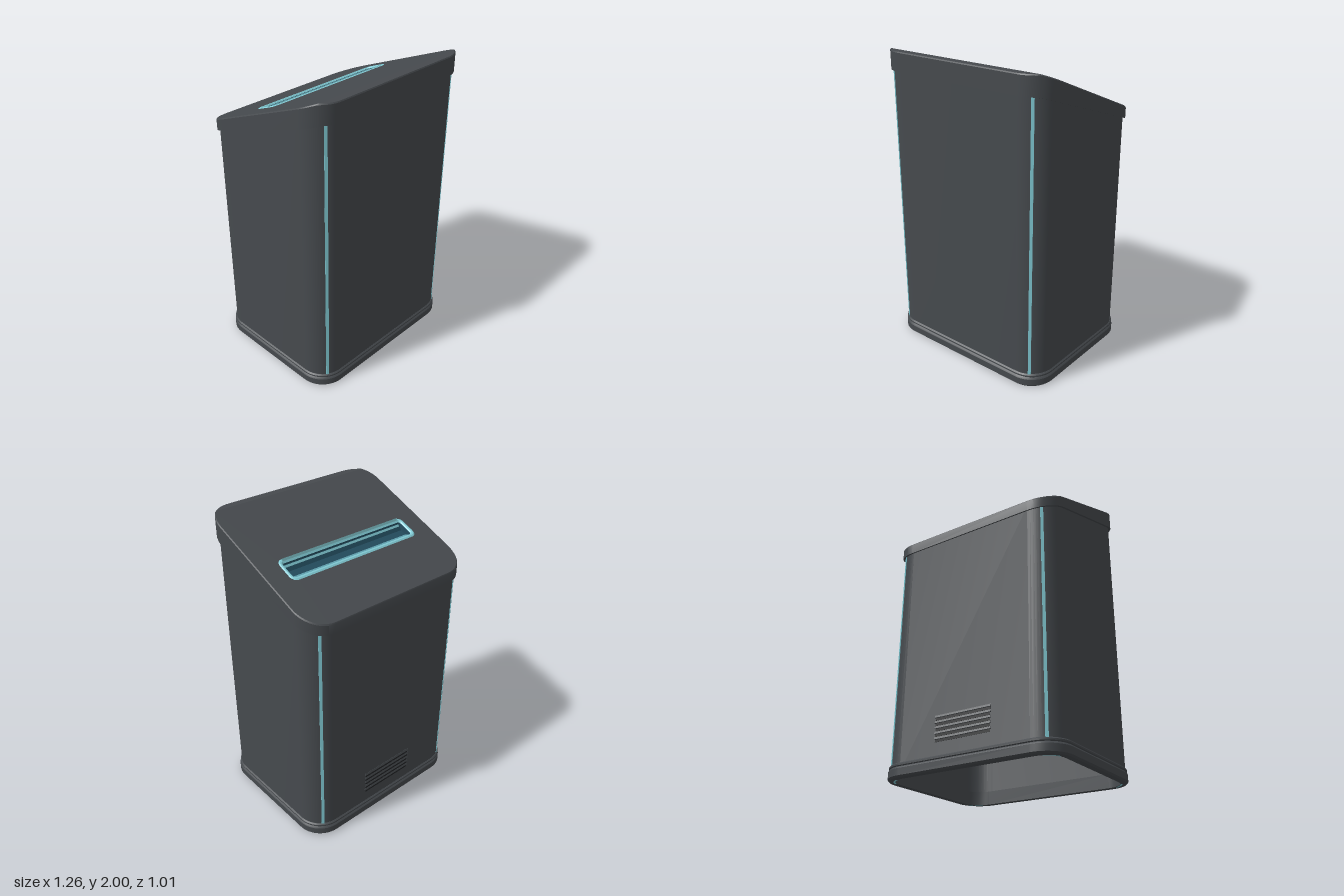
import * as THREE from 'three';
import { toCreasedNormals } from 'three/addons/utils/BufferGeometryUtils.js';

const mat = (name, color) => {
  const m = new THREE.MeshStandardMaterial({ color, side: THREE.DoubleSide });
  m.name = name;
  return m;
};

// Rounded rectangle in plan, as [x, z] points
function outline(hx, hz, r, cz = 0, n = 12) {
  const pts = [];
  [[1, 1], [-1, 1], [-1, -1], [1, -1]].forEach(([sx, sz], k) => {
    for (let i = 0; i <= n; i++) {
      const a = (k + i / n) * Math.PI / 2;
      pts.push([sx * (hx - r) + r * Math.cos(a), cz + sz * (hz - r) + r * Math.sin(a)]);
    }
  });
  return pts;
}

// Add points where the outline crosses a given z
function splitAt(pts, z) {
  return pts.flatMap((a, i) => {
    const b = pts[(i + 1) % pts.length];
    if ((a[1] - z) * (b[1] - z) >= 0) return [a];
    const t = (z - a[1]) / (b[1] - a[1]);
    return [a, [a[0] + (b[0] - a[0]) * t, z]];
  });
}

// Skin a stack of closed rings; each ring is [points, height(z)]
function loft(rings) {
  const n = rings[0][0].length, pos = [], idx = [];
  rings.forEach(([pts, y]) => pts.forEach(([x, z]) => pos.push(x, y(z), z)));
  for (let i = 0; i < rings.length - 1; i++) {
    for (let j = 0; j < n; j++) {
      const a = i * n + j, b = i * n + (j + 1) % n;
      idx.push(a, a + n, b, b, a + n, b + n);
    }
  }
  const g = new THREE.BufferGeometry();
  g.setAttribute('position', new THREE.Float32BufferAttribute(pos, 3));
  g.setIndex(idx);
  return toCreasedNormals(g, 0.5);
}

// Flat plan shape, lifted onto a height rule
function sheet(pts, y, hole) {
  const v = (p) => p.map(([x, z]) => new THREE.Vector2(x, -z));
  const shape = new THREE.Shape(v(pts));
  if (hole) shape.holes.push(new THREE.Path(v(hole)));
  const g = new THREE.ShapeGeometry(shape).rotateX(-Math.PI / 2);
  const p = g.attributes.position;
  for (let i = 0; i < p.count; i++) p.setY(i, y(p.getZ(i)));
  return toCreasedNormals(g, 0.5);
}

export function createModel() {
  const charcoal = mat('charcoal', 0x464a4e);
  const dark = mat('dark vent', 0x232527);
  const cyan = mat('pale cyan', 0x82ccd6);
  const muted = mat('muted teal', 0x5b8d93);
  const teal = mat('teal', 0x5fa0ae);
  const deepTeal = mat('deep teal', 0x234c5e);
  const group = new THREE.Group();
  const add = (name, geo, material) => {
    const m = new THREE.Mesh(geo, material);
    m.name = name;
    group.add(m);
    return m;
  };

  // Lid heights: short flat at the front, then a slope down to the back
  const bend = 0.45, inset = 0.992, cut = bend * inset;
  const topY = (z) => 2 - Math.max(0, cut - z) * 0.405;
  const botY = (z) => 1.875 - Math.max(0, 0.46 - z) * 0.342;

  // Open-bottomed body shell
  const hx = 0.618, hz = 0.489, r = 0.163;
  const wall = splitAt(outline(hx, hz, r), 0.46);
  add('body', loft([[wall, () => 0.03], [wall, (z) => botY(z) + 0.03]]), charcoal);

  // Base ring with a groove
  const profile = [[0.05, 0.002], [0.01, 0.002], [0, 0.012], [0, 0.056], [0.005, 0.064], [0.01, 0.069],
    [0.004, 0.074], [0.004, 0.084], [0.012, 0.092], [0.05, 0.092], [0.05, 0.002]];
  add('baseRing', loft(profile.map(([d, y]) => [outline(0.63 - d, 0.502 - d, 0.17 - d), () => y])), charcoal);

  // Lid skirt and top, with the slot opening cut out
  const rim = splitAt(outline(0.632, 0.503, 0.17), bend);
  const scaled = (s) => rim.map(([x, z]) => [x * s, z * s]);
  const top = scaled(inset);
  add('lidSkirt', loft([[scaled(0.95), botY], [rim, botY], [rim, (z) => topY(z) - 0.007], [top, topY]]), charcoal);
  const slot = (d) => outline(0.495 - d, 0.082 - d, 0.04 - d, -0.095, 6);
  add('lidSlope', sheet(top.filter((p) => p[1] <= cut + 1e-6), topY, slot(0)), charcoal);
  add('lidFront', sheet(top.filter((p) => p[1] >= cut - 1e-6), topY), charcoal);

  // Slot frame: a low rounded lip, then steep walls
  const sunk = (d) => (z) => topY(z) - d;
  add('slotFrame', loft([[slot(0), topY], [slot(0.008), sunk(-0.005)], [slot(0.018), sunk(-0.004)],
    [slot(0.026), sunk(0.006)]]), cyan);
  add('slotWalls', loft([[slot(0.026), sunk(0.006)], [slot(0.03), sunk(0.06)]]), deepTeal);

  // Lengthwise bands: [name, half width, back z, front z, back depth, front depth, material]
  [
    ['slotBackWall', 0.468, -0.151, -0.105, 0.008, 0.042, teal],
    ['slotFloor', 0.468, -0.105, -0.062, 0.042, 0.045, deepTeal],
    ['slotFrontWall', 0.468, -0.062, -0.037, 0.045, 0.01, deepTeal],
    ['slotRail', 0.46, -0.05, -0.043, 0.026, 0.016, cyan],
    ['slotFrontLip', 0.46, -0.035, -0.017, -0.006, -0.006, muted],
  ].forEach(([name, w, z0, z1, d0, d1, material]) => {
    const depth = (z) => d0 + (d1 - d0) * (z - z0) / (z1 - z0);
    add(name, sheet([[w, z1], [-w, z1], [-w, z0], [w, z0]], (z) => topY(z) - depth(z)), material);
  });

  // Per corner: a pale seam strip on the body and a small arc under the base
  const a = 0.58;
  for (const sx of [-1, 1]) {
    for (const sz of [-1, 1]) {
      const nx = sx * Math.sin(a), nz = sz * Math.cos(a);
      const x = sx * (hx - r) + nx * (r + 0.002), z = sz * (hz - r) + nz * (r + 0.002);
      const h = botY(z) - 0.09;
      const strip = add('cornerStrip', new THREE.BoxGeometry(0.019, h, 0.004), cyan);
      strip.position.set(x, 0.09 + h / 2, z);
      strip.rotation.y = Math.atan2(nx, nz);

      const mid = Math.atan2(sz, sx);
      const arc = new THREE.RingGeometry(0.122, 0.134, 8, 1, mid - 0.4, 0.8).rotateX(Math.PI / 2);
      add('baseCornerArc', arc, cyan).position.set(sx * 0.46, 0, sz * 0.332);
    }
  }

  // Louvred vent low on the back
  for (let i = 0; i < 5; i++) {
    const y = 0.18 + i * 0.033;
    add('ventSlit', new THREE.BoxGeometry(0.39, 0.016, 0.004), dark).position.set(0, y, -hz);
    const louver = add('ventLouver', new THREE.BoxGeometry(0.4, 0.015, 0.008), charcoal);
    louver.position.set(0, y + 0.016, -hz);
    louver.rotation.x = 0.3;
  }
  return group;
}
